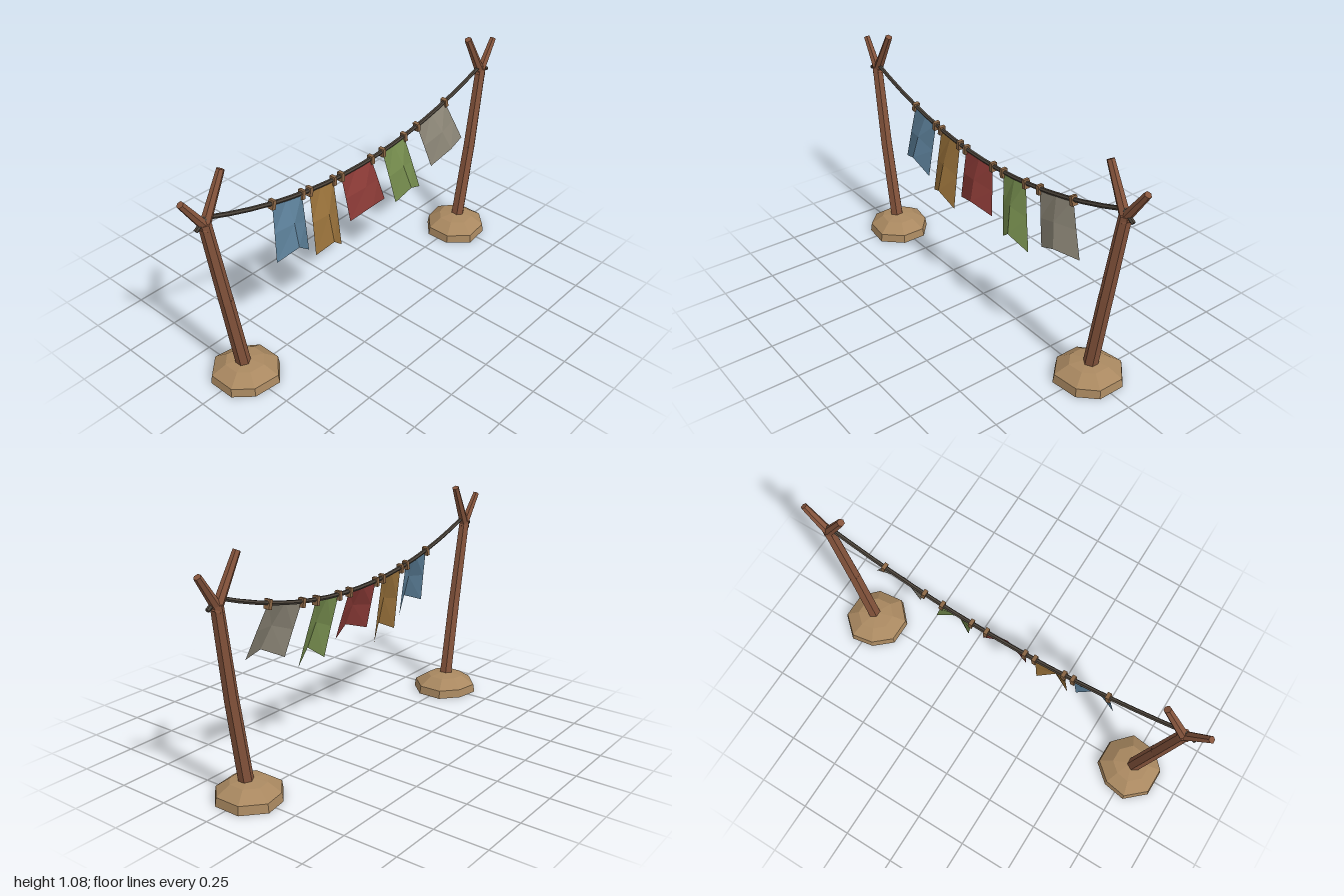
import * as THREE from 'three';
import { ConvexGeometry } from 'three/addons/geometries/ConvexGeometry.js';

const paint = (name, color, side = THREE.FrontSide) =>
  new THREE.MeshStandardMaterial({ name, color, side, flatShading: true });

// Tapered low-poly pole between two points
function pole(name, a, b, rA, rB, sides, material) {
  const from = new THREE.Vector3(...a), to = new THREE.Vector3(...b);
  const dir = to.clone().sub(from);
  const mesh = new THREE.Mesh(new THREE.CylinderGeometry(rB, rA, dir.length(), sides), material);
  mesh.position.copy(from).add(to).multiplyScalar(0.5);
  mesh.quaternion.setFromUnitVectors(new THREE.Vector3(0, 1, 0), dir.normalize());
  mesh.name = name;
  return mesh;
}

// Uneven octagonal dirt mound, s = side (+1 or -1)
function mound(s, material) {
  const rim = [[0.605, -0.06], [0.605, 0.06], [0.69, 0.15], [0.82, 0.135],
    [0.893, 0.06], [0.893, -0.07], [0.8, -0.154], [0.69, -0.135]];
  const points = [new THREE.Vector3(s * 0.75, 0.095, 0)];
  for (const [y, k] of [[0, 1], [0.04, 0.96], [0.082, 0.56]])
    for (const [x, z] of rim) points.push(new THREE.Vector3(s * (0.75 + (x - 0.75) * k), y, z * k));
  const mesh = new THREE.Mesh(new ConvexGeometry(points), material);
  mesh.name = 'mound';
  return mesh;
}

// Folded pennant: corners top left/right, bottom left, notch, bottom right
function flag(name, tl, tr, bl, notch, br, material) {
  const top = [tl, [(tl[0] + tr[0]) / 2, (tl[1] + tr[1]) / 2], tr];
  const bottom = [bl, notch, br];
  const depth = [[0, 0, 0], [0.022, 0.045, 0.022], [0.042, 0.075, 0.042]];
  const geo = new THREE.PlaneGeometry(1, 1, 2, 2);
  const pos = geo.attributes.position;
  for (let i = 0; i < 9; i++) {
    const row = Math.floor(i / 3), col = i % 3, t = row / 2;
    pos.setXYZ(i,
      THREE.MathUtils.lerp(top[col][0], bottom[col][0], t),
      THREE.MathUtils.lerp(top[col][1], bottom[col][1], t),
      depth[row][col]);
  }
  geo.computeVertexNormals();
  const mesh = new THREE.Mesh(geo, material);
  mesh.name = name;
  return mesh;
}

export function createModel() {
  const model = new THREE.Group();
  model.name = 'flagLine';
  const wood = paint('wood', 0x85543c);
  const earth = paint('earth', 0xa98860);
  const cord = paint('cord', 0x4a4239);
  const peg = paint('peg', 0x8a6645);

  // Forked posts on mounds
  for (const s of [1, -1]) {
    const post = new THREE.Group();
    post.name = s > 0 ? 'leftPost' : 'rightPost';
    post.add(
      mound(s, earth),
      pole('lowerTrunk', [s * 0.755, 0.03, 0.003], [s * 0.826, 0.47, 0.004], 0.034, 0.031, 6, wood),
      pole('upperTrunk', [s * 0.825, 0.46, 0.004], [s * 0.888, 0.88, -0.003], 0.031, 0.027, 6, wood),
      pole('outerBranch', [s * 0.875, 0.85, -0.003], [s * 0.985, 1.01, -0.009], 0.023, 0.016, 6, wood),
      pole('innerBranch', [s * 0.895, 0.85, -0.003], [s * 0.778, 1.07, -0.012], 0.024, 0.017, 6, wood),
    );
    model.add(post);
  }

  // Sagging rope with tails hanging past the posts
  const ropeY = (x) => 0.733 + 0.22 * x * x;
  const rope = new THREE.Group();
  rope.name = 'rope';
  const path = [[-0.935, 0.865, 0]];
  for (let i = -8; i <= 8; i++) {
    const x = (i / 8) * 0.88;
    path.push([x, ropeY(x), 0]);
  }
  path.push([0.935, 0.865, 0]);
  for (let i = 1; i < path.length; i++)
    rope.add(pole('ropePiece', path[i - 1], path[i], 0.01, 0.01, 6, cord));
  model.add(rope);

  // Flags with a peg at each top corner
  const flags = [
    ['blue', 0x5a7d96, -0.54, -0.37, [-0.57, 0.53], [-0.468, 0.57], [-0.38, 0.495]],
    ['ochre', 0x98713a, -0.325, -0.178, [-0.338, 0.44], [-0.255, 0.483], [-0.174, 0.41]],
    ['red', 0x8a3a36, -0.128, 0.07, [-0.115, 0.505], [0.002, 0.545], [0.12, 0.512]],
    ['green', 0x768d4e, 0.147, 0.3, [0.2, 0.45], [0.275, 0.51], [0.378, 0.455]],
    ['grey', 0x8c8677, 0.393, 0.6, [0.463, 0.53], [0.575, 0.59], [0.7, 0.588]],
  ];
  for (const [name, color, x0, x1, bl, notch, br] of flags) {
    const cloth = paint(name + 'Cloth', color, THREE.DoubleSide);
    model.add(flag(name + 'Flag', [x0, ropeY(x0)], [x1, ropeY(x1)], bl, notch, br, cloth));
    for (const x of [x0, x1]) {
      const clip = new THREE.Mesh(new THREE.BoxGeometry(0.018, 0.042, 0.03), peg);
      clip.position.set(x, ropeY(x) - 0.004, 0);
      clip.rotation.z = Math.atan(0.44 * x);
      clip.name = 'peg';
      model.add(clip);
    }
  }
  return model;
}
